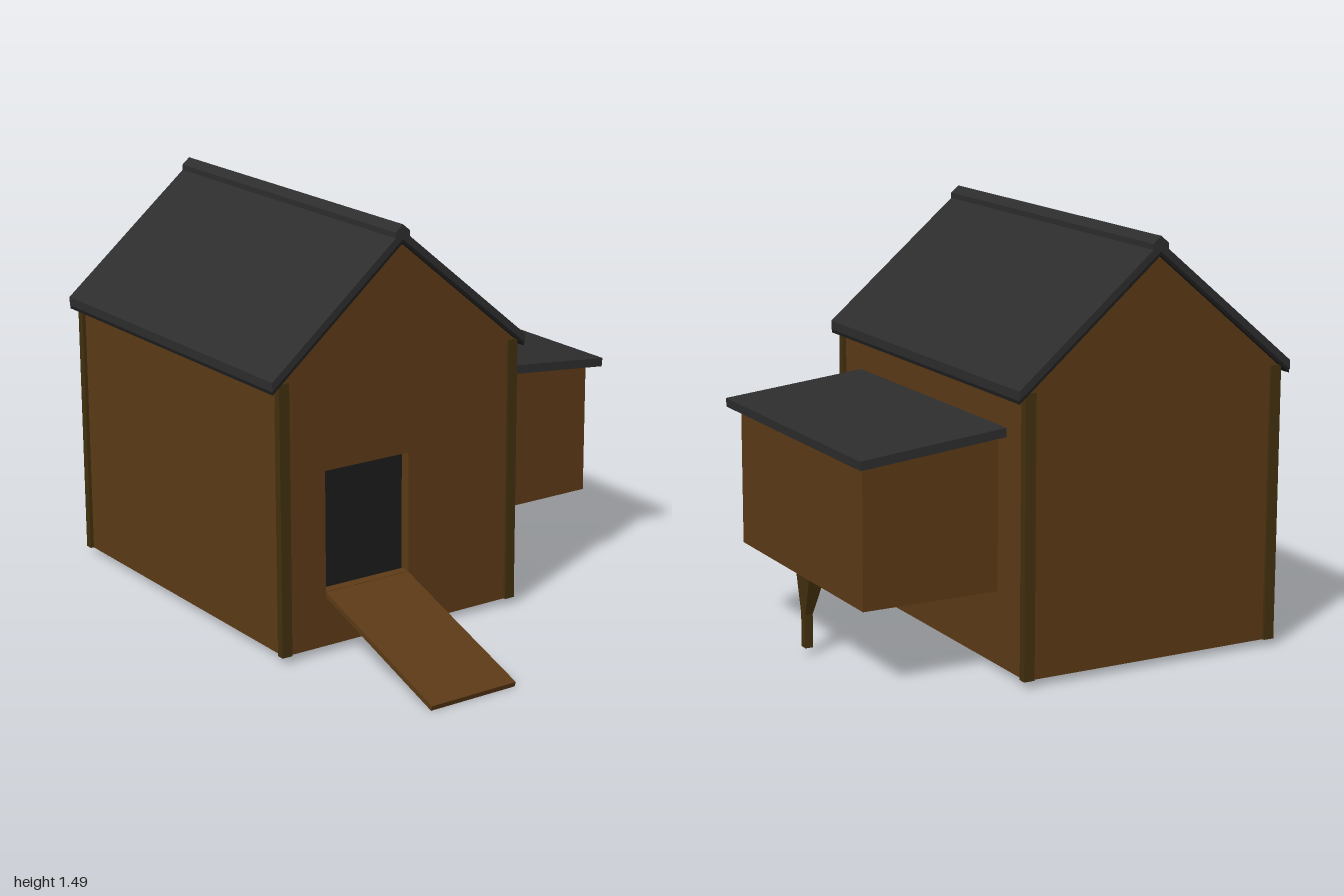
import * as THREE from 'three';

const mat = (color) => new THREE.MeshStandardMaterial({ color, flatShading: true });
const wood = mat(0x5c3a16), post = mat(0x42300f), roofing = mat(0x2d2d2d), dark = mat(0x1c1c1c);
const CX = -0.25; // ridge line of the main house

export function createModel() {
  const group = new THREE.Group();

  const add = (name, geometry, material) => {
    const mesh = new THREE.Mesh(geometry, material);
    mesh.name = name;
    group.add(mesh);
    return mesh;
  };
  // Box given by its extents
  const box = (name, material, x0, x1, y0, y1, z0, z1) =>
    add(name, new THREE.BoxGeometry(x1 - x0, y1 - y0, z1 - z0), material)
      .position.set((x0 + x1) / 2, (y0 + y1) / 2, (z0 + z1) / 2);
  // Front-facing outline extruded between two depths
  const prism = (name, material, points, z0, z1, hole) => {
    const shape = new THREE.Shape(points.map(([x, y]) => new THREE.Vector2(x, y)));
    if (hole) shape.holes.push(new THREE.Path(hole.map(([x, y]) => new THREE.Vector2(x, y))));
    const g = new THREE.ExtrudeGeometry(shape, { depth: z1 - z0, bevelEnabled: false });
    return add(name, g.translate(0, 0, z0), material);
  };
  // Inverted V: half width, apex height, edge height, vertical thickness
  const chevron = (w, apex, edge, t) => [
    [CX - w, edge - t], [CX, apex - t], [CX + w, edge - t],
    [CX + w, edge], [CX, apex], [CX - w, edge],
  ];

  // House body with a recessed doorway in the front wall
  const gable = [[CX - 0.49, 0.025], [CX + 0.49, 0.025], [CX + 0.49, 1.015], [CX, 1.425], [CX - 0.49, 1.015]];
  const door = [[-0.565, 0.225], [-0.565, 0.665], [-0.215, 0.665], [-0.215, 0.225]];
  prism('houseBody', wood, gable, -0.98, 0.335);
  prism('frontWall', wood, gable, 0.335, 0.38, door);
  box('doorwayPanel', dark, -0.565, -0.215, 0.225, 0.665, 0.33, 0.34);

  // Corner posts
  for (const s of [-1, 1]) {
    const x0 = s < 0 ? CX - 0.503 : CX + 0.463;
    box('frontCornerPost', post, x0, x0 + 0.04, 0.025, 1.005, 0.36, 0.39);
    box('backCornerPost', post, x0, x0 + 0.04, 0.025, 1.005, -0.99, -0.96);
  }

  // Main roof: covering, lining beneath it and ridge cap
  prism('roof', roofing, chevron(0.533, 1.466, 1.018, 0.032), -1, 0.395);
  prism('roofLining', dark, chevron(0.531, 1.434, 0.988, 0.014), -0.998, 0.393);
  prism('ridgeCap', roofing, chevron(0.03, 1.486, 1.461, 0.025), -1, 0.395);

  // Nest box on the left side with its lean-to roof
  prism('nestBox', wood, [[0.23, 0.285], [0.745, 0.285], [0.745, 0.785], [0.23, 0.836]], -0.785, 0.18);
  prism('nestBoxRoof', roofing, [[0.24, 0.829], [0.777, 0.777], [0.78, 0.809], [0.24, 0.861]], -0.84, 0.235);

  // Nest box leg: a square post that flares inward and sideways at the top
  const leg = new THREE.BoxGeometry(1, 1, 1, 1, 2, 1);
  const p = leg.attributes.position;
  const rows = [[0.025, 0.707, 0.016], [0.145, 0.707, 0.016], [0.287, 0.675, 0.053]]; // y, inner x, half depth
  for (let i = 0; i < p.count; i++) {
    const [y, inner, half] = rows[Math.round((p.getY(i) + 0.5) * 2)];
    p.setXYZ(i, p.getX(i) < 0 ? inner : 0.736, y, -0.3 + Math.sign(p.getZ(i)) * half);
  }
  leg.computeVertexNormals();
  add('nestBoxLeg', leg, post);

  // Entrance ramp: side outline in z and y, swept across the doorway width
  const side = new THREE.Shape([[0.36, 0.21], [0.994, 0], [1, 0.018], [0.36, 0.23]]
    .map(([z, y]) => new THREE.Vector2(-z, y)).reverse());
  const ramp = new THREE.ExtrudeGeometry(side, { depth: 0.349, bevelEnabled: false });
  ramp.rotateY(Math.PI / 2).translate(-0.5645, 0, 0);
  add('ramp', ramp, wood);

  return group;
}
